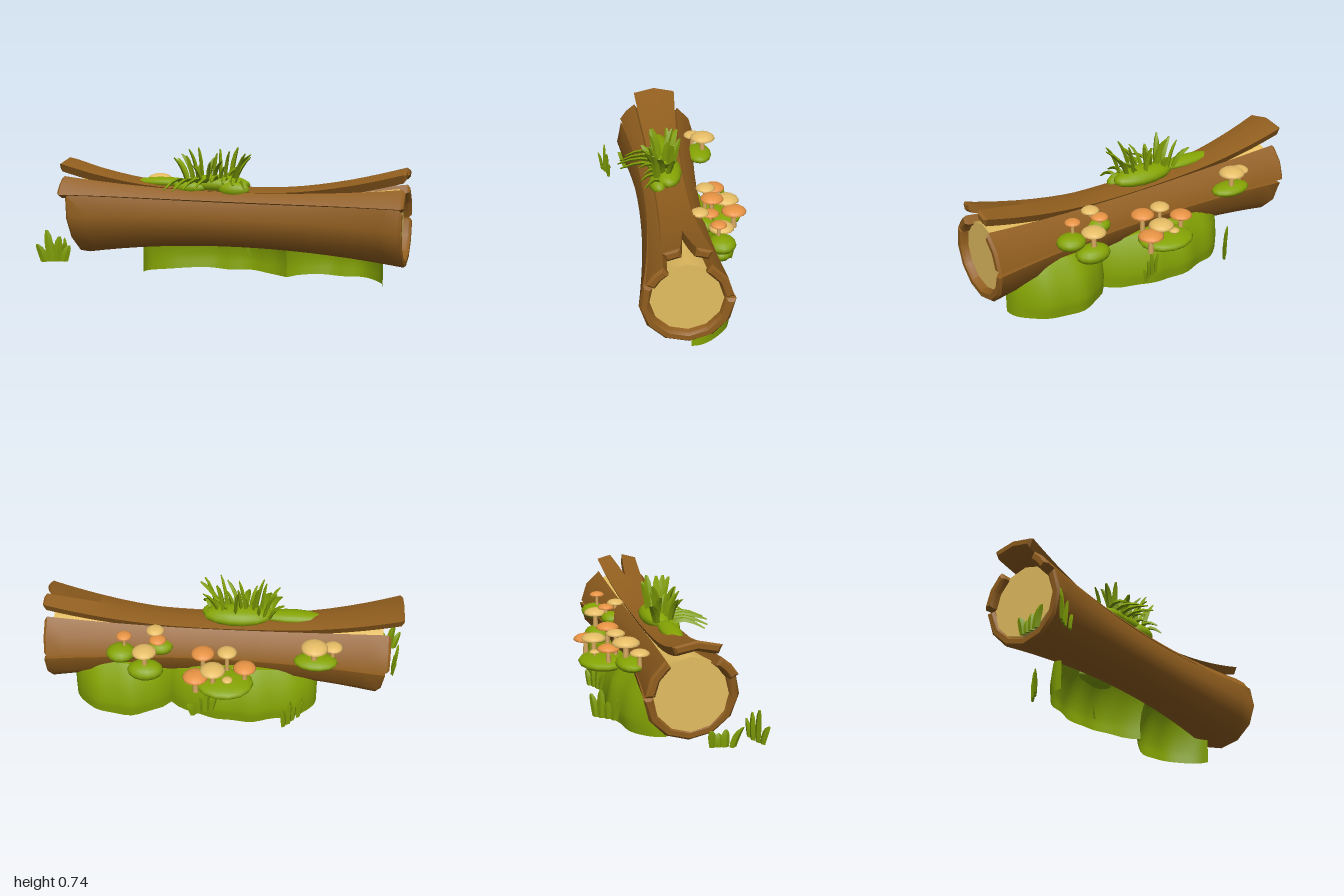
import * as THREE from 'three';
import { toCreasedNormals } from 'three/addons/utils/BufferGeometryUtils.js';

const mat = (name, color) => {
  const m = new THREE.MeshStandardMaterial({ color });
  m.name = name;
  return m;
};
const V = (x, y, z) => new THREE.Vector3(x, y, z);

// Skin over rings with an even point count; ends are zipped shut.
// With sheet set, the rings stay open strips and the ends are left uncapped.
function loft(rings, crease = 0.65, sheet = false) {
  const m = rings[0].length, last = (rings.length - 1) * m, idx = [];
  for (let r = 0; r < rings.length - 1; r++) {
    for (let i = 0; i < (sheet ? m - 1 : m); i++) {
      const a = r * m + i, b = r * m + (i + 1) % m;
      idx.push(a, b, a + m, b, b + m, a + m);
    }
  }
  for (let i = 0; !sheet && i < m / 2 - 1; i++) {
    const a = i, b = i + 1, c = m - 2 - i, d = m - 1 - i;
    idx.push(a, c, b, a, d, c);
    idx.push(last + a, last + b, last + c, last + a, last + c, last + d);
  }
  const pts = rings.flat();
  let vol = 0;
  for (let i = 0; i < idx.length; i += 3) {
    vol += pts[idx[i]].dot(pts[idx[i + 1]].clone().cross(pts[idx[i + 2]]));
  }
  if (vol < 0) idx.reverse();
  const g = new THREE.BufferGeometry().setFromPoints(pts);
  g.setIndex(idx);
  return toCreasedNormals(g, crease);
}

const CY = 0.357, CZ = 0.027, RAD = Math.PI / 180;
const logRadius = x => 0.17 + 0.07 * ((x - 0.07) / 0.92) ** 2;
const ramp = (x, a, b) => Math.max(0, (x - a) / (b - a)) ** 1.5;

// One bark plank: an angular slice of the log wall, bevelled at its ends.
function plank({ x0, x1, angles, n, lift = () => 0, skew = 0, bevel = [1, 1] }) {
  const B = 0.014, stations = [];
  if (bevel[0]) stations.push([x0, B]);
  const s0 = x0 + bevel[0] * B, s1 = x1 - bevel[1] * B;
  const steps = Math.max(4, Math.round((s1 - s0) / 0.1));
  for (let i = 0; i <= steps; i++) stations.push([s0 + (s1 - s0) * i / steps, 0]);
  if (bevel[1]) stations.push([x1, B]);
  return loft(stations.map(([x, inset]) => {
    const [a0, a1] = angles(x).map(a => a * RAD);
    const r = logRadius(x) + lift(x), da = Math.min(inset / r, (a1 - a0) * 0.3);
    const at = (i, rad) => {
      const a = a0 + da + (a1 - a0 - 2 * da) * i / n;
      const shift = x < 0 ? skew * Math.sin(a) * x * x : 0;
      return V(x + shift, CY + rad * Math.sin(a), CZ + rad * Math.cos(a));
    };
    const ring = [];
    for (let i = 0; i <= n; i++) ring.push(at(i, r - inset));
    for (let i = n; i >= 0; i--) ring.push(at(i, r - 0.05 + inset * 0.7));
    return ring;
  }));
}

// Bent, tapering grass blade.
function blade(base, tip, width, wdir) {
  const top = Math.max(base.y, tip.y);
  const curve = new THREE.QuadraticBezierCurve3(base,
    V(base.x * 0.7 + tip.x * 0.3, base.y * 0.3 + top * 0.7 + (tip.y < base.y + 0.06 ? 0.06 : 0), base.z * 0.7 + tip.z * 0.3), tip);
  const w = wdir.clone().normalize();
  return loft([0.85, 1, 1, 0.82, 0.35].map((k, i) => {
    const p = curve.getPoint(i / 4);
    const side = curve.getTangent(i / 4).cross(w).normalize().multiplyScalar(0.01 * k);
    const half = w.clone().multiplyScalar(width * k / 2);
    return [p.clone().add(half), p.clone().add(side), p.clone().sub(half), p.clone().sub(side)];
  }));
}

export function createModel() {
  const root = new THREE.Group();
  root.name = 'fallenLog';
  const bark = mat('bark', 0x915e1e), wood = mat('paleWood', 0xe3bd60);
  const moss = mat('moss', 0x85a404), grass = mat('grass', 0x7f9d06);
  const tan = mat('tanCap', 0xe6bd66), orange = mat('orangeCap', 0xec9645), stemMat = mat('stem', 0xd8a960);
  moss.side = THREE.DoubleSide;

  const add = (parent, name, geo, material) => {
    const mesh = new THREE.Mesh(geo, material);
    mesh.name = name;
    parent.add(mesh);
    return mesh;
  };
  const group = name => {
    const g = new THREE.Group();
    g.name = name;
    root.add(g);
    return g;
  };

  // Bark planks around the log
  const log = group('log');
  const flare = x => 0.062 * ramp(x, 0.3, 0.98) + 0.05 * ramp(-x, 0.4, 0.96);
  const e = x => Math.min(1, x * x);
  const tuck = x => 0.003 - 0.013 * e(x);
  add(log, 'mainBark', plank({ x0: -0.88, x1: 0.99, angles: x => [-180, 34 - 9 * e(x)], n: 7, skew: -0.035 }), bark);
  add(log, 'frontPlank', plank({ x0: -0.945, x1: 0.995, angles: x => [35.5 - 9 * e(x), 58 + e(x)], n: 2, lift: tuck }), bark);
  add(log, 'backPlank', plank({ x0: -0.9, x1: 0.99, angles: x => [122 + (x > 0 ? -2 : 4) * e(x), 177], n: 2, lift: tuck }), bark);
  add(log, 'topPlank', plank({ x0: -0.965, x1: 0.7, angles: x => [60 + 6 * e(x), 120 - 7 * e(x)], n: 2, lift: flare, bevel: [1, 0] }), bark);
  const split = x => 7.5 * Math.max(0, (x - 0.7) / 0.29);
  add(log, 'frontSplinter', plank({ x0: 0.7, x1: 0.995, angles: x => [60 + 6 * e(x), 90 - split(x)], n: 1, lift: flare, bevel: [0, 1] }), bark);
  add(log, 'backSplinter', plank({ x0: 0.7, x1: 0.995, angles: x => [90 + split(x), 120 - 7 * e(x)], n: 1, lift: flare, bevel: [0, 1] }), bark);

  // Pale heartwood
  const profile = [new THREE.Vector2(0, -0.86)];
  for (let i = 0; i <= 14; i++) {
    const x = -0.86 + 1.81 * i / 14;
    profile.push(new THREE.Vector2(logRadius(x) - 0.047, x));
  }
  profile.push(new THREE.Vector2(0, 0.95));
  const core = add(log, 'heartwood', toCreasedNormals(new THREE.LatheGeometry(profile, 12), 0.65), wood);
  core.rotation.z = -Math.PI / 2;
  core.position.set(0, CY, CZ);

  // Two-lobed mossy skirt hanging behind the log, open at the front and below
  const skirt = [];
  for (let i = 0; i <= 48; i++) {
    const x = 0.17 - 0.69 * Math.cos(Math.PI * i / 48);
    const t = x > 0.3 ? (x - 0.3) / 0.56 : (x + 0.52) / 0.82;
    const bulge = Math.max(0, Math.sin(Math.PI * t)) ** 0.55;
    const rest = 0.075 * Math.sin(Math.PI * i / 48) ** 0.5;
    const w = 0.006 + rest + 0.165 * bulge + 0.008 * bulge * Math.sin(28 * x), h = 0.22 + 0.095 * bulge;
    skirt.push([V(x, h, -w * 0.3), V(x, h, -w * 0.68), V(x, h * 0.72, -w * 0.92),
      V(x, 0.09, -w * 1.05), V(x, 0.05, -w * 1.03), V(x, 0.005 + 0.004 * Math.sin(19 * x), -w)]);
  }
  add(root, 'mossSkirt', loft(skirt, 0.9, true), moss);

  // Moss cushions: centre, then radii
  const cushions = group('mossCushions');
  const ball = new THREE.SphereGeometry(1, 14, 10);
  for (const [x, y, z, a, b, c] of [
    [0.56, 0.415, -0.195, 0.08, 0.043, 0.075], [0.43, 0.307, -0.2, 0.1, 0.05, 0.075],
    [0.35, 0.42, -0.13, 0.07, 0.04, 0.06], [-0.01, 0.283, -0.25, 0.16, 0.04, 0.138],
    [-0.5, 0.42, -0.2, 0.12, 0.035, 0.075],
    [-0.06, 0.538, 0.035, 0.19, 0.052, 0.085], [-0.36, 0.538, 0.045, 0.18, 0.03, 0.055],
    [0.05, 0.515, 0.09, 0.09, 0.045, 0.05], [-0.2, 0.52, 0.085, 0.1, 0.04, 0.05],
  ]) {
    const m = add(cushions, 'mossCushion', ball, moss);
    m.position.set(x, y, z);
    m.scale.set(a, b, c);
  }

  // Mushrooms: x, z, cap top, stem foot, cap radius, cap material
  const capGeo = new THREE.LatheGeometry([[0, 0.16], [0.5, 0.1], [0.92, -0.06], [1, 0], [0.93, 0.16], [0.7, 0.33], [0.38, 0.43], [0, 0.46]]
    .map(p => new THREE.Vector2(...p)), 14);
  const stemGeo = new THREE.CylinderGeometry(0.17, 0.24, 1, 8);
  const mushrooms = group('mushrooms');
  for (const [x, z, top, foot, r, capMat] of [
    [0.54, -0.18, 0.535, 0.43, 0.043, orange], [0.43, -0.21, 0.465, 0.33, 0.068, tan],
    [0.38, -0.1, 0.525, 0.42, 0.05, tan], [0.36, -0.16, 0.505, 0.42, 0.048, orange],
    [-0.12, -0.24, 0.41, 0.29, 0.063, orange], [-0.02, -0.18, 0.46, 0.3, 0.055, tan],
    [0.05, -0.29, 0.425, 0.29, 0.07, tan], [0.14, -0.32, 0.4, 0.27, 0.07, orange],
    [0.11, -0.2, 0.465, 0.29, 0.065, orange], [-0.03, -0.3, 0.355, 0.29, 0.03, tan],
    [-0.59, -0.17, 0.52, 0.42, 0.052, tan], [-0.49, -0.22, 0.557, 0.42, 0.074, tan],
  ]) {
    const cap = add(mushrooms, 'mushroomCap', capGeo, capMat);
    cap.position.set(x, top - 0.46 * r, z);
    cap.scale.setScalar(r);
    const h = top - 0.25 * r - foot;
    const stem = add(mushrooms, 'mushroomStem', stemGeo, stemMat);
    stem.position.set(x, foot + h / 2, z);
    stem.scale.set(r, h, r);
  }

  // Grass on top of the log
  let seed = 11;
  const rnd = (a, b) => {
    seed = (seed * 16807) % 2147483647;
    return a + (b - a) * seed / 2147483647;
  };
  const topGrass = group('topGrass');
  for (let i = 0; i < 20; i++) {
    const t = i / 19, x = -0.24 + 0.3 * t, z = i % 2 ? rnd(0.06, 0.1) : rnd(0, 0.04);
    const tip = V(x + (t - 0.45) * 0.16 + rnd(-0.05, 0.05), rnd(0.63, 0.745), z + (i % 2 ? rnd(0, 0.08) : rnd(-0.05, 0.02)));
    add(topGrass, 'grassBlade', blade(V(x, 0.55, z), tip, rnd(0.034, 0.045), V(rnd(-0.6, 0.6), 0, 1)), grass);
  }
  for (let i = 0; i < 8; i++) {
    const x = -0.24 + 0.047 * i;
    const tip = V(x + (i - 4) * 0.015, rnd(0.52, 0.565), i < 4 ? rnd(0.25, 0.31) : rnd(0.15, 0.22));
    add(topGrass, 'droopingBlade', blade(V(x, 0.54, 0.08), tip, 0.04, V(1, 0.5, 0)), grass);
  }

  // Grass tufts near the ground: width direction, foot height, then blades as foot x, z and tip x, y, z
  const tufts = group('groundGrass');
  for (const [dir, y, blades] of [
    [V(1, 0, -0.35), 0.11, [[-0.965, 0.365, -0.995, 0.21, 0.387], [-0.935, 0.35, -0.955, 0.285, 0.348],
      [-0.9, 0.335, -0.885, 0.25, 0.335], [-0.86, 0.33, -0.835, 0.2, 0.322]]],
    [V(0.2, 0, 1), 0.11, [[-0.97, 0.21, -0.985, 0.215, 0.255], [-0.96, 0.175, -0.96, 0.2, 0.175],
      [-0.955, 0.145, -0.95, 0.18, 0.14], [-0.95, 0.115, -0.965, 0.2, 0.1]]],
    [V(0.6, 0, -0.8), 0.085, [[-0.42, -0.27, -0.45, 0.21, -0.25], [-0.39, -0.3, -0.4, 0.18, -0.3],
      [-0.37, -0.33, -0.37, 0.24, -0.33], [-0.345, -0.355, -0.33, 0.21, -0.375]]],
    [V(0.8, 0, -0.6), 0.085, [[0.06, -0.25, 0.03, 0.19, -0.24], [0.09, -0.265, 0.085, 0.24, -0.255],
      [0.125, -0.28, 0.13, 0.2, -0.285], [0.155, -0.3, 0.185, 0.17, -0.31]]],
  ]) {
    for (const [x, z, tx, ty, tz] of blades) {
      add(tufts, 'grassBlade', blade(V(x, y, z), V(tx, ty, tz), 0.046, dir), grass);
    }
  }
  return root;
}
